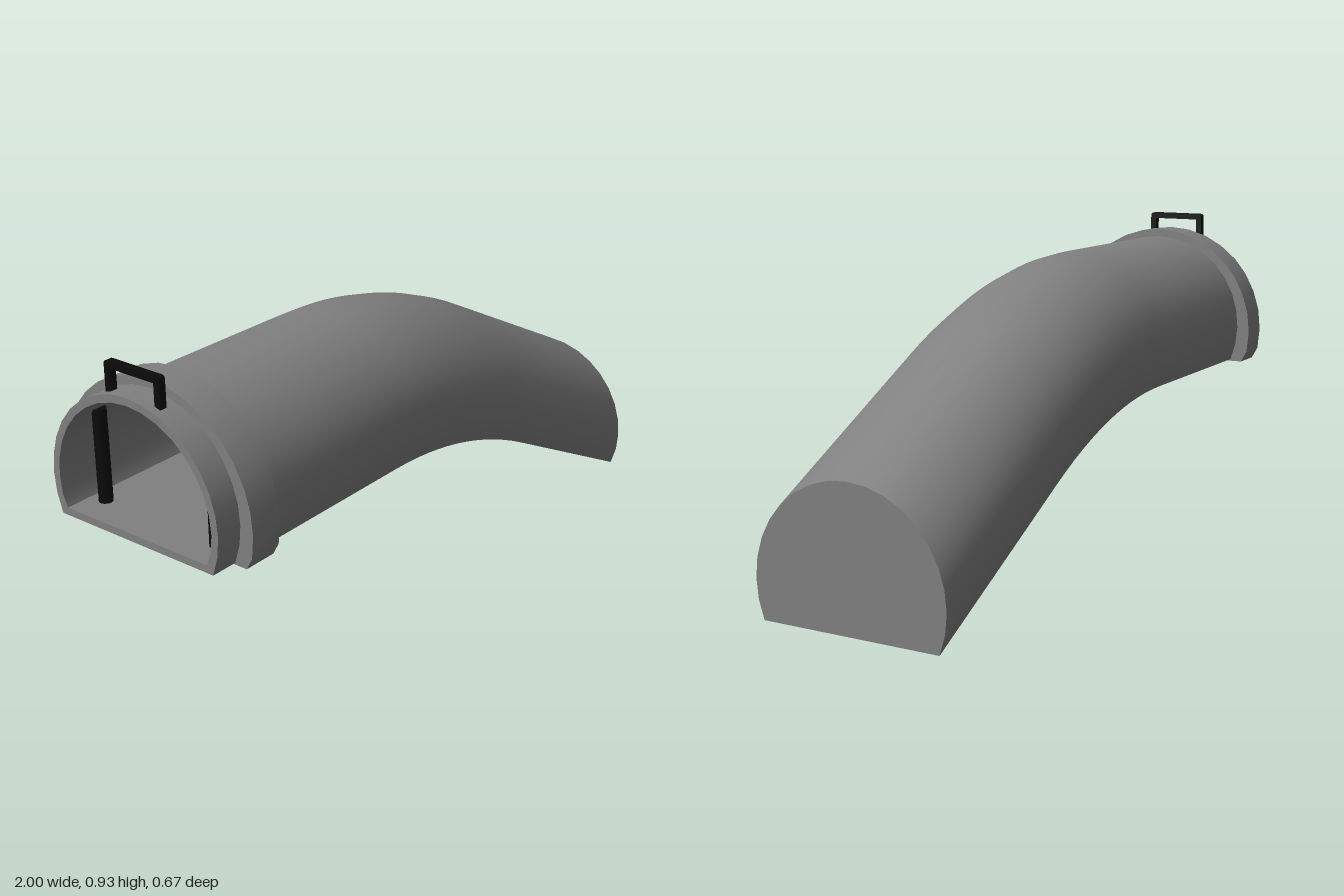
import * as THREE from 'three';

const grey = new THREE.MeshStandardMaterial({ color: 0x808080 });
grey.name = 'grey';
const black = new THREE.MeshStandardMaterial({ color: 0x0b0b0b });
black.name = 'black';

// Height of the underside: level, then a smooth bend, then a straight slope
const floorY = (x) => {
  if (x < -0.25) return 0.462;
  const d = Math.min(x, 0.4) + 0.25;
  return 0.462 - 0.384 * d * d - Math.max(x - 0.4, 0) * 0.5;
};

// Circle cut flat at the bottom, as points running from +z over the top to -z
function arch(radius, centreY, bottom) {
  const points = [];
  for (let i = 0; i <= 20; i++) {
    const a = THREE.MathUtils.degToRad(-22.5 + i * 11.25);
    const y = Math.max(centreY + radius * Math.sin(a), bottom);
    points.push(new THREE.Vector2(radius * Math.cos(a), y));
  }
  return points;
}

// Sweep a profile along x, following the bend
function sweep(profile, stations) {
  const positions = [], index = [], n = profile.length;
  for (const x of stations) {
    for (const p of profile) positions.push(x, p.y + floorY(x), p.x);
  }
  for (let j = 0; j < stations.length - 1; j++) {
    for (let i = 0; i < n - 1; i++) {
      const a = j * n + i, b = a + n;
      index.push(a, b, b + 1, a, b + 1, a + 1);
    }
  }
  const g = new THREE.BufferGeometry();
  g.setAttribute('position', new THREE.Float32BufferAttribute(positions, 3));
  g.setIndex(index);
  g.computeVertexNormals();
  return g;
}

// Flat end face at x, facing +x or -x
function endFace(points, x, facing, hole) {
  const shape = new THREE.Shape(points);
  if (hole) shape.holes.push(new THREE.Path(hole));
  return new THREE.ShapeGeometry(shape)
    .rotateY(facing * Math.PI / 2)
    .translate(x, floorY(x), 0);
}

export function createModel() {
  const model = new THREE.Group();
  const add = (name, geometry, material = grey) => {
    const mesh = new THREE.Mesh(geometry, material);
    mesh.name = name;
    model.add(mesh);
    return mesh;
  };

  const stations = [-1];
  for (let i = 0; i <= 13; i++) stations.push(-0.25 + i * 0.05);
  stations.push(1);
  const innerStations = [...stations.slice(0, -1), 0.98];

  const outer = arch(0.292, 0.112, 0);
  const inner = arch(0.27, 0.112, 0.022);
  const flat = (p) => [p[p.length - 1], p[0]];

  // Tunnel shell, open at -x and closed at +x
  add('outerShell', sweep(outer, stations));
  add('underside', sweep(flat(outer), stations));
  add('innerShell', sweep([...inner].reverse(), innerStations));
  add('innerFloor', sweep(flat(inner).reverse(), innerStations));
  add('openRim', endFace(outer, -1, -1, inner));
  add('endCap', endFace(outer, 1, 1));
  add('innerEndWall', endFace(inner, 0.98, -1));

  // Raised collar around the open end, smooth around its band
  const collar = arch(0.333, 0.095, -0.005);
  add('collarBand', sweep(collar, [-0.92, -0.82]));
  add('collarUnderside', sweep(flat(collar), [-0.92, -0.82]));
  const bore = arch(0.285, 0.112, 0.005);
  add('collarFrontFace', endFace(collar, -0.92, -1, bore));
  add('collarBackFace', endFace(collar, -0.82, 1, bore));

  // Carrying handle on top of the open end
  const h = new THREE.Shape();
  const w = 0.095, t = 0.019, top = 0.935, base = 0.845, r = 0.01;
  h.moveTo(-w, base);
  h.lineTo(-w + t, base);
  h.lineTo(-w + t, top - t);
  h.lineTo(w - t, top - t);
  h.lineTo(w - t, base);
  h.lineTo(w, base);
  h.lineTo(w, top - r);
  h.quadraticCurveTo(w, top, w - r, top);
  h.lineTo(-w + r, top);
  h.quadraticCurveTo(-w, top, -w, top - r);
  const handle = new THREE.ExtrudeGeometry(h, { depth: 0.022, bevelEnabled: false, curveSegments: 4 });
  add('topHandle', handle.rotateY(Math.PI / 2).translate(-0.976, 0, 0), black);

  // Upright grab bars just inside the opening
  for (const side of [-1, 1]) {
    const bar = add(side > 0 ? 'frontGrabBar' : 'backGrabBar',
      new THREE.CylinderGeometry(0.02, 0.02, 0.27, 12), black);
    bar.position.set(-0.91, 0.619, side * 0.2);
  }
  return model;
}
